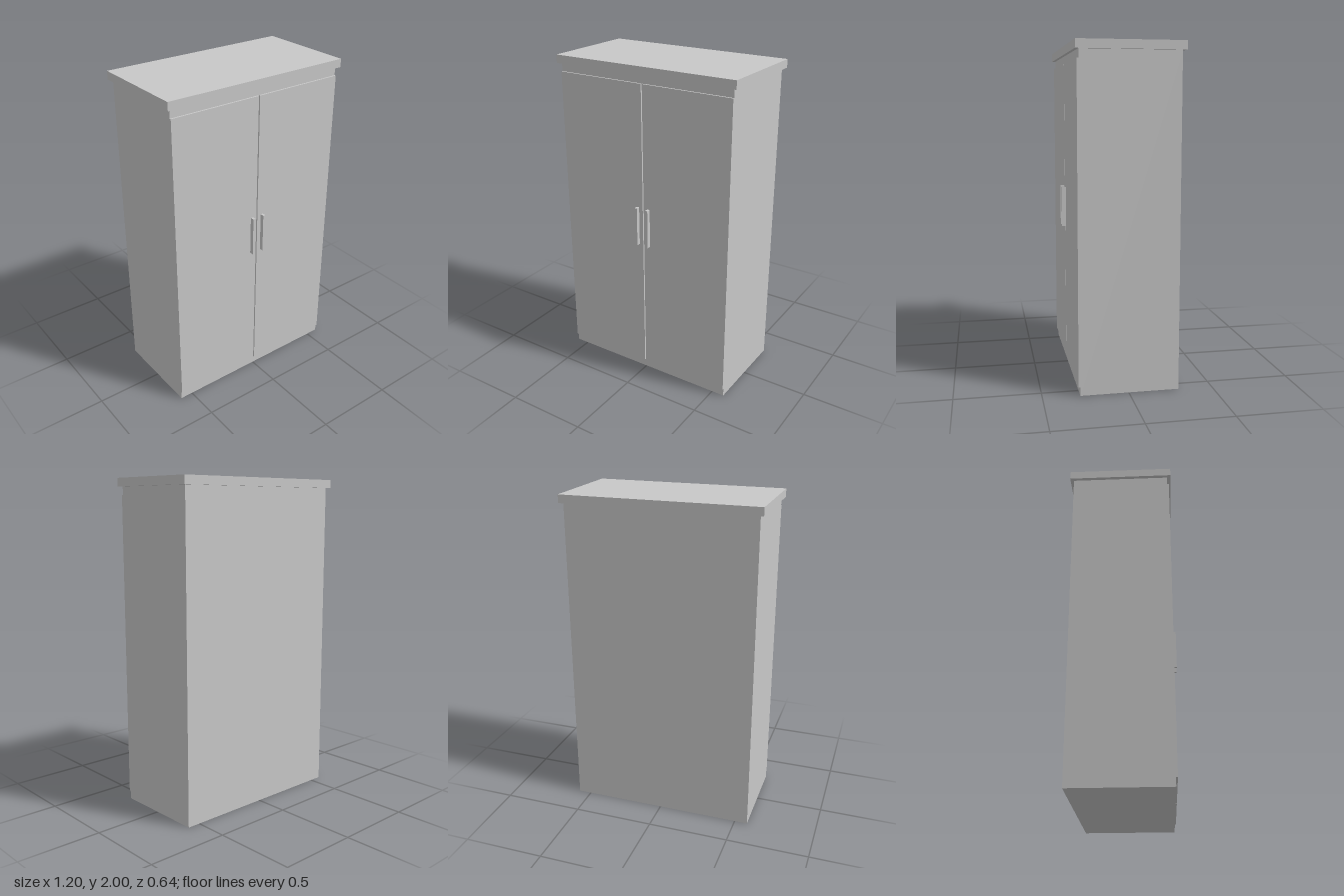
import * as THREE from 'three';

export function createModel() {
  const model = new THREE.Group();
  model.name = 'wardrobe';
  const grey = new THREE.MeshStandardMaterial({ color: 0xc8c8c8 });
  grey.name = 'light grey';

  // Adds a box spanning the given minimum and maximum corners
  function box(name, [x0, y0, z0], [x1, y1, z1]) {
    const mesh = new THREE.Mesh(new THREE.BoxGeometry(x1 - x0, y1 - y0, z1 - z0), grey);
    mesh.name = name;
    mesh.position.set((x0 + x1) / 2, (y0 + y1) / 2, (z0 + z1) / 2);
    model.add(mesh);
  }

  const back = -0.297, front = 0.283, doorFront = 0.293;

  // Carcass and overhanging top panel
  box('cabinetBody', [-0.58, 0, back], [0.58, 1.95, front]);
  box('topPanel', [-0.602, 1.95, back - 0.021], [0.602, 2, front + 0.021]);

  // Thin doors with a narrow gap between them, and upright handles
  for (const [side, s] of [['left', 1], ['right', -1]]) {
    const span = (a, b) => [Math.min(s * a, s * b), Math.max(s * a, s * b)];
    const [d0, d1] = span(0.004, 0.58);
    box(side + 'Door', [d0, 0.05, front], [d1, 1.9, doorFront]);
    const [h0, h1] = span(0.03, 0.046);
    box(side + 'Handle', [h0, 0.9, doorFront], [h1, 1.145, 0.318]);
  }
  return model;
}
